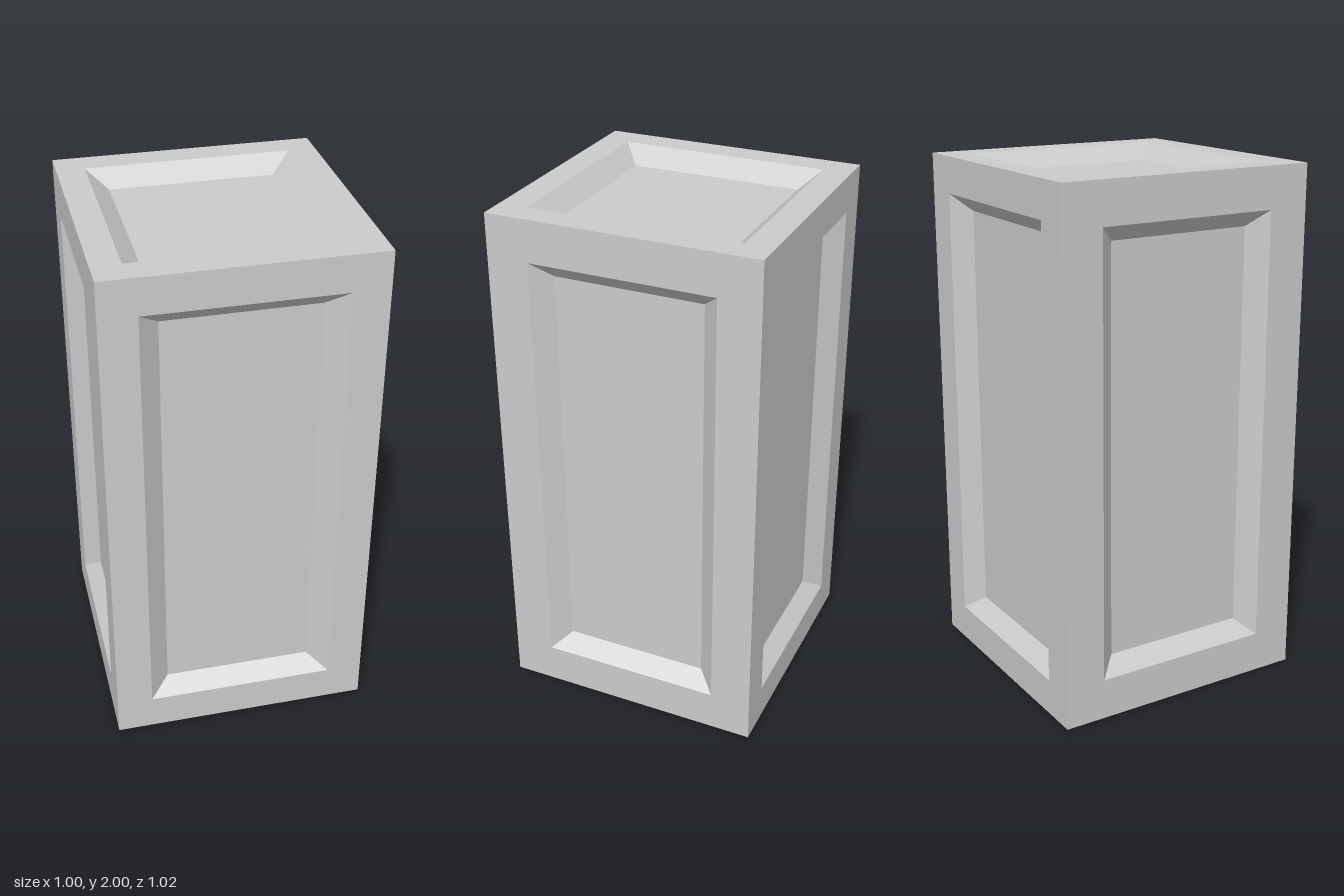
import * as THREE from 'three';

const HALF = { x: 0.499, y: 1, z: 0.51 };
const DEPTH = 0.062;

// One box face: flat border, sloped bevel and sunken floor, facing +z.
// Each size is a [half width, half height] pair.
function panelGeometry(outer, rim, floor) {
  const rings = [[outer, 0], [rim, 0], [floor, -DEPTH]].map(([[w, h], z]) =>
    [[-w, -h, z], [w, -h, z], [w, h, z], [-w, h, z]]);
  const positions = [];
  const quad = (a, b, c, d) => positions.push(...a, ...b, ...c, ...a, ...c, ...d);
  for (let r = 0; r < 2; r++) {
    for (let i = 0; i < 4; i++) {
      const j = (i + 1) % 4;
      quad(rings[r][i], rings[r][j], rings[r + 1][j], rings[r + 1][i]);
    }
  }
  quad(...rings[2]);
  const geometry = new THREE.BufferGeometry();
  geometry.setAttribute('position', new THREE.Float32BufferAttribute(positions, 3));
  geometry.computeVertexNormals();
  return geometry;
}

export function createModel() {
  const group = new THREE.Group();
  group.name = 'panelledBox';
  const material = new THREE.MeshStandardMaterial({ color: 0xcccccc, flatShading: true });

  const frontBack = panelGeometry([HALF.x, HALF.y], [0.362, 0.86], [0.286, 0.8]);
  const sides = panelGeometry([HALF.z, HALF.y], [0.352, 0.842], [0.283, 0.781]);
  const topBottom = panelGeometry([HALF.x, HALF.z], [0.392, 0.402], [0.315, 0.332]);

  // name, geometry, distance from centre, rotation about x, rotation about y
  const panels = [
    ['frontPanel', frontBack, HALF.z, 0, 0],
    ['backPanel', frontBack, HALF.z, 0, Math.PI],
    ['leftPanel', sides, HALF.x, 0, Math.PI / 2],
    ['rightPanel', sides, HALF.x, 0, -Math.PI / 2],
    ['topPanel', topBottom, HALF.y, -Math.PI / 2, 0],
    ['bottomPanel', topBottom, HALF.y, Math.PI / 2, 0],
  ];
  for (const [name, geometry, distance, rx, ry] of panels) {
    const panel = new THREE.Mesh(geometry, material);
    panel.name = name;
    panel.rotation.set(rx, ry, 0);
    panel.position.y = HALF.y;
    panel.translateZ(distance);
    group.add(panel);
  }
  return group;
}
